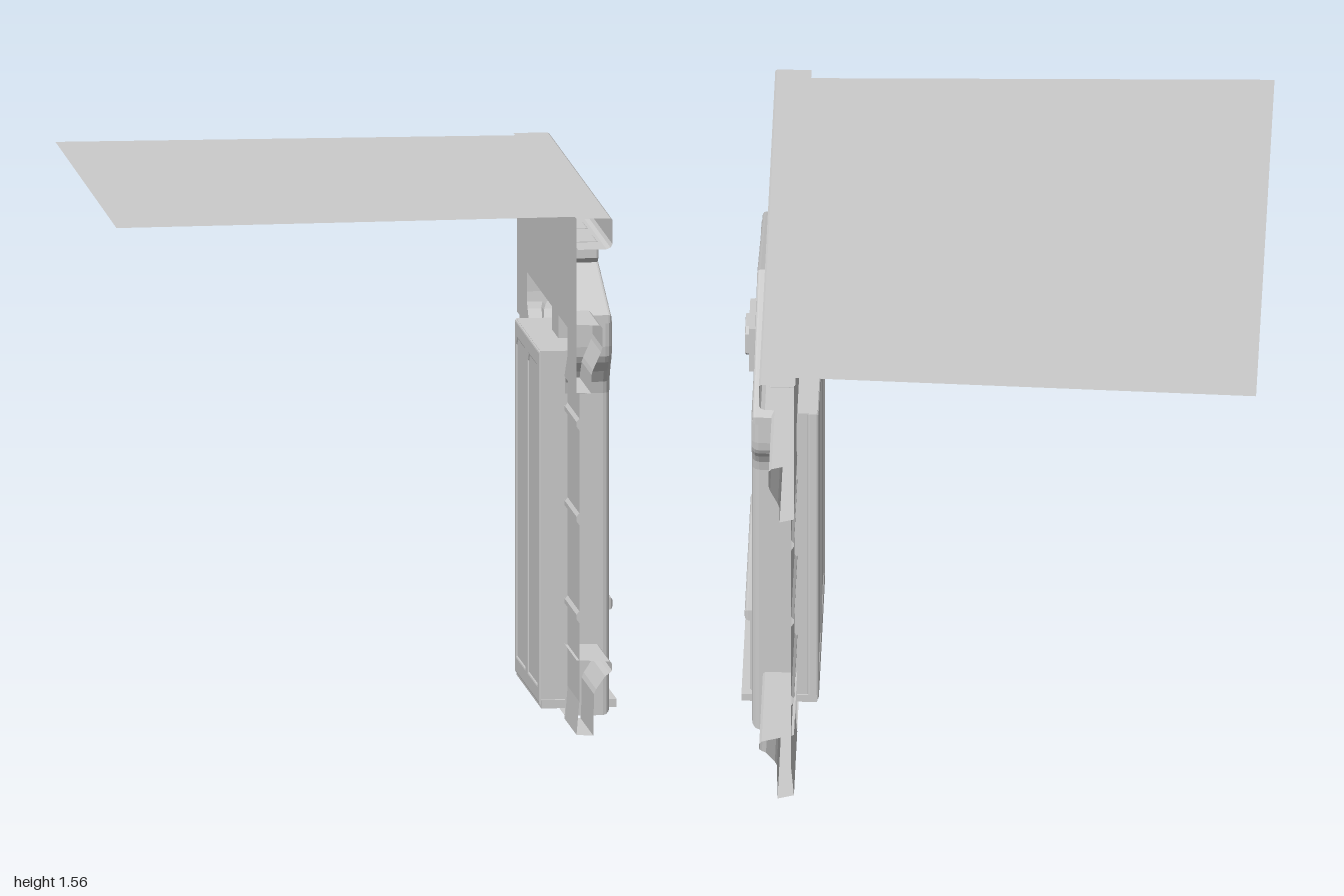
import * as THREE from 'three';

const mat = new THREE.MeshStandardMaterial({ color: 0xcccccc, side: THREE.DoubleSide });

function add(parent, name, geo, x = 0, y = 0, z = 0) {
  const m = new THREE.Mesh(geo, mat);
  m.name = name;
  m.position.set(x, y, z);
  parent.add(m);
  return m;
}

// Open moulding: a [y, depth] profile (top to bottom) swept from x0 to x1;
// m0 and m1 mitre the ends in proportion to depth
function moulding(profile, x0, x1, m0 = 0, m1 = 0) {
  const g = new THREE.PlaneGeometry(1, 1, 1, profile.length - 1);
  const p = g.attributes.position;
  for (let i = 0; i < p.count; i++) {
    const [y, d] = profile[i >> 1];
    p.setXYZ(i, i % 2 ? x1 + m1 * d : x0 + m0 * d, y, d);
  }
  const flat = g.toNonIndexed();
  flat.computeVertexNormals();
  return flat;
}

function shapeOf(points, holes = []) {
  const v = (list) => list.map(([x, y]) => new THREE.Vector2(x, y));
  const s = new THREE.Shape(v(points));
  for (const h of holes) s.holes.push(new THREE.Path(v(h)));
  return s;
}

const rect = (x0, x1, y0, y1) => [[x0, y0], [x1, y0], [x1, y1], [x0, y1]];

// Extrusion whose front face lies at the given depth, with rounded edges
function relief(shape, back, front, bevel, hollow = false) {
  const g = new THREE.ExtrudeGeometry(shape, {
    depth: front - back - bevel, curveSegments: 6, bevelEnabled: true,
    bevelThickness: bevel, bevelSize: bevel, bevelOffset: -bevel, bevelSegments: 3,
  });
  g.translate(0, 0, back);
  if (!hollow) return g;
  // drop the rear faces so the relief is an open shell
  const p = g.attributes.position, keep = [];
  for (let i = 0; i < p.count; i += 3) {
    if (Math.max(p.getZ(i), p.getZ(i + 1), p.getZ(i + 2)) > back + 0.001) {
      for (let k = 0; k < 3; k++) keep.push(p.getX(i + k), p.getY(i + k), p.getZ(i + k));
    }
  }
  const out = new THREE.BufferGeometry();
  out.setAttribute('position', new THREE.Float32BufferAttribute(keep, 3));
  out.computeVertexNormals();
  return out;
}

function bar(parent, name, a, b, r) {
  const A = new THREE.Vector3(...a), B = new THREE.Vector3(...b);
  const m = add(parent, name, new THREE.CylinderGeometry(r, r, A.distanceTo(B), 8));
  m.position.copy(A).add(B).multiplyScalar(0.5);
  m.quaternion.setFromUnitVectors(new THREE.Vector3(0, 1, 0), B.sub(A).normalize());
}

export function createModel() {
  const model = new THREE.Group();
  // Facade frame: x along the wall, z out of the wall
  const f = new THREE.Group();
  f.name = 'facade';
  f.rotation.y = THREE.MathUtils.degToRad(112.8);
  f.position.set(0.587, 0, -0.245);
  model.add(f);
  const W = 0.7325, E = 0.772;
  const DX = -0.011; // the doorway sits slightly off the wall's middle

  // Roof sheet, slightly wider at its far edge
  const roof = new THREE.ShapeGeometry(shapeOf([[-W, 0], [W, 0], [0.78, 1.374], [-0.768, 1.38]]));
  roof.rotateX(-Math.PI / 2);
  add(f, 'roof', roof, 0, 1.56, 0);

  // Upper wall, cut to the shoulders of the doorway
  add(f, 'upperWall', new THREE.ShapeGeometry(shapeOf([[-W, 1.56], [-W, 1.03], [-0.435, 1.03], [-0.505, 1.1],
    [-0.505, 1.19], [0.485, 1.19], [0.485, 1.1], [0.42, 1.03], [W, 1.03], [W, 1.56]])));

  // Side walls of shallow stone courses, band and plinth, mitred at the outer ends
  const courses = [[1.03, 0], [1.03, 0.008]];
  for (const y of [0.935, 0.65, 0.355]) {
    courses.push([y + 0.018, 0.008], [y + 0.007, 0], [y - 0.007, 0], [y - 0.018, 0.008]);
  }
  courses.push([0.1, 0.008], [0, 0]);
  const band = [[1.235, 0], [1.235, 0.066], [1.228, 0.074], [1.17, 0.074], [1.155, 0.07],
    [1.1, 0.047], [1.085, 0.043], [1.03, 0.042], [1.03, 0]];
  const base = [[0.225, 0], [0.225, 0.095], [0.218, 0.102], [0.198, 0.102], [0.19, 0.094],
    [0.18, 0.082], [0.14, 0.056], [0.125, 0.05], [0, 0.048], [0, 0]];
  for (const [name, profile] of [['sideWall', courses], ['sideBand', band], ['basePlinth', base]]) {
    add(f, name, moulding(profile, -W, -0.435, -0.37, 0));
    add(f, name, moulding(profile, 0.42, W, 0, 0.37));
  }

  // Cornice with its row of brackets
  add(f, 'cornice', moulding([[1.56, -0.005], [1.56, 0.097], [1.555, 0.103], [1.482, 0.103],
    [1.472, 0.097], [1.467, 0.085], [1.467, 0]], -E, E));
  const w = 0.058;
  const bracket = relief(shapeOf([[-w, 0.065], [-w, 0.015], [-w + 0.015, 0], [w - 0.015, 0], [w, 0.015], [w, 0.065]]),
    0, 0.078, 0.008, true);
  for (let i = 0; i < 6; i++) add(f, 'bracket', bracket, (i - 2.5) * 0.237 + 0.01, 1.404, 0);

  // Door surround with flared shoulders
  const half = [[0.438, 0.01], [0.438, 0.98], [0.445, 1.015], [0.465, 1.05], [0.49, 1.08],
    [0.5, 1.1], [0.504, 1.13], [0.504, 1.205], [0.492, 1.225]];
  const outline = [[-0.296, 0.01], [-0.296, 1.085], [0.296, 1.085], [0.296, 0.01], ...half,
    ...half.slice().reverse().map(([x, y]) => [-x, y])];
  add(f, 'doorSurround', relief(shapeOf(outline), 0, 0.135, 0.022, true), DX);

  // Pediment frame over the surround
  add(f, 'pediment', relief(shapeOf([[-0.504, 1.2], [0.504, 1.2], [0.504, 1.225], [0.016, 1.405], [-0.504, 1.225]],
    [[[-0.32, 1.225], [0.016, 1.345], [0.33, 1.225]]]), 0, 0.132, 0.01, true), DX);

  // Keystone: tapered block with a rounded inset frame
  const key = new THREE.Group();
  key.name = 'keystone';
  f.add(key);
  const block = new THREE.BoxGeometry(0.16, 0.16, 0.13);
  const bp = block.attributes.position;
  for (let i = 0; i < bp.count; i++) if (bp.getZ(i) > 0) bp.setX(i, bp.getX(i) * 0.93);
  block.computeVertexNormals();
  add(key, 'keystoneBlock', block, -0.002, 1.155, 0.09);
  const octagon = (a, b, c) => [[-a + c, -b], [a - c, -b], [a, -b + c], [a, b - c], [a - c, b],
    [-a + c, b], [-a, b - c], [-a, -b + c]];
  add(key, 'keystoneFrame', relief(shapeOf(octagon(0.05, 0.053, 0.018),
    [octagon(0.036, 0.04, 0.015)]), 0, 0.012, 0.004), -0.004, 1.158, 0.155);

  // Reveals of the door recess
  const B = -0.056;
  for (const s of [-1, 1]) {
    const side = add(f, 'doorReveal', new THREE.PlaneGeometry(0.02 - B, 1.07), s * 0.296 + DX, 0.55, (0.02 + B) / 2);
    side.rotation.y = -s * Math.PI / 2;
  }
  const head = add(f, 'doorHead', new THREE.PlaneGeometry(0.592, 0.02 - B), DX, 1.085, (0.02 + B) / 2);
  head.rotation.x = Math.PI / 2;

  // Door leaves: frame with two tall sunken panels
  const panel = (s) => [[0.032, 0.075], [0.258, 0.075], [0.258, 1.01], [0.24, 1.03], [0.05, 1.03], [0.032, 1.01]]
    .map(([x, y]) => [s * x, y]);
  add(f, 'doorFrame', relief(shapeOf(rect(-0.306, 0.29, 0.02, 1.085), [panel(-1), panel(1)]), -0.052, -0.026, 0.008));
  add(f, 'doorPanels', new THREE.PlaneGeometry(0.592, 1.05), DX, 0.56, B);

  // Sill slab
  add(f, 'sill', new THREE.BoxGeometry(0.61, 0.025, 0.225), -0.015, 0.024, 0.0575);

  // Balcony railing
  const rail = new THREE.Group();
  rail.name = 'railing';
  rail.position.set(-0.012, 0, 0.135);
  f.add(rail);
  add(rail, 'handrail', relief(shapeOf(rect(-0.289, 0.289, 0.302, 0.338)), -0.022, 0.026, 0.01));
  bar(rail, 'bottomRail', [-0.28, 0.045, 0], [0.28, 0.045, 0], 0.008);
  add(rail, 'railingRing', new THREE.TorusGeometry(0.104, 0.009, 8, 32), 0, 0.18, 0);
  for (const s of [-1, 1]) {
    for (const x of [0.22, 0.275]) bar(rail, 'railingPost', [s * x, 0.03, 0], [s * x, 0.305, 0], 0.009);
    for (const t of [-1, 1]) {
      bar(rail, 'railingDiagonal', [s * 0.078, 0.18 + t * 0.07, 0], [s * 0.217, 0.175 + t * 0.127, 0], 0.008);
    }
  }
  return model;
}
